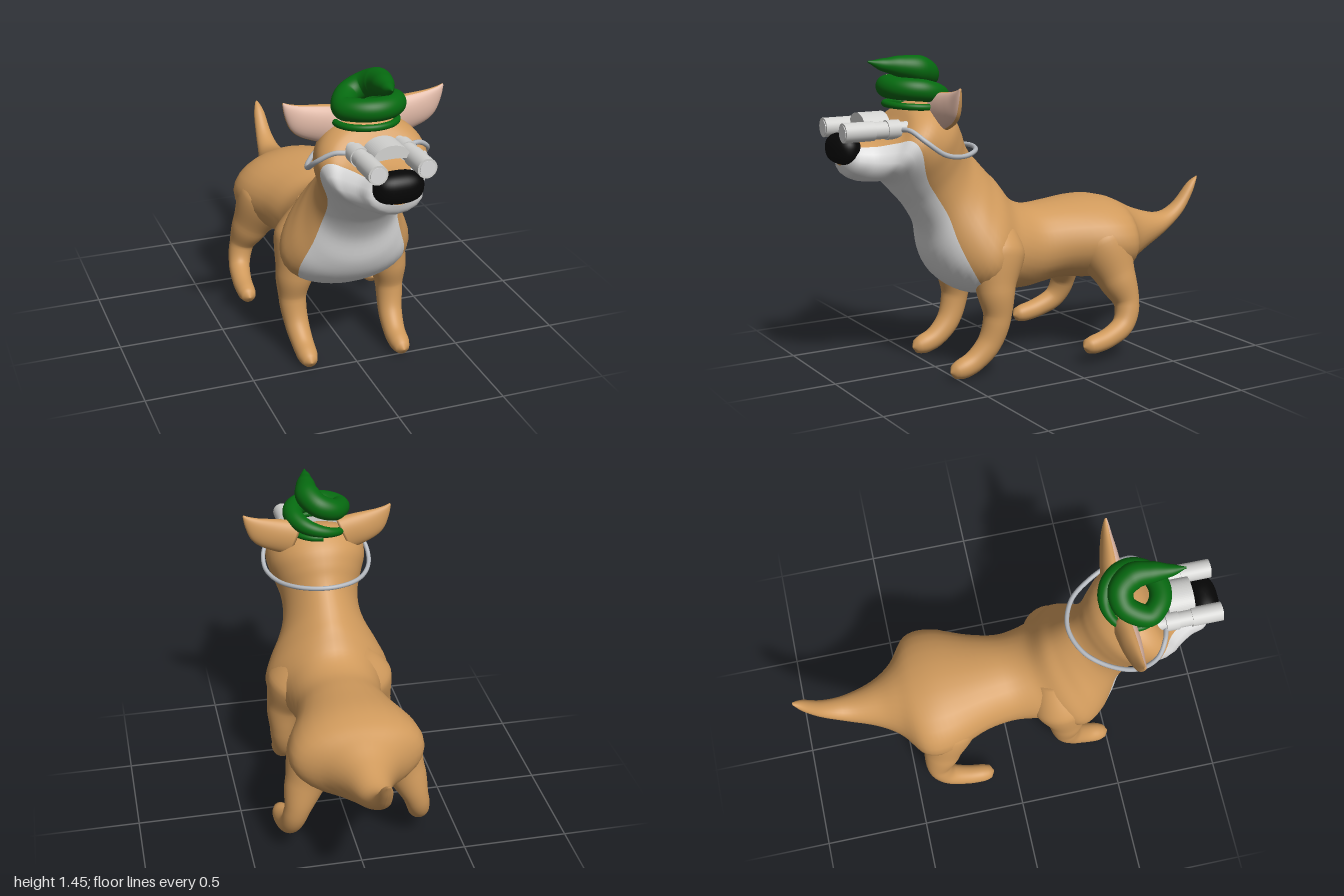
import * as THREE from 'three';

const V = (x, y, z) => new THREE.Vector3(x, y, z);
const mat = (name, color) => {
  const m = new THREE.MeshStandardMaterial({ color });
  m.name = name;
  return m;
};
const BASE = 28, PATCH = 12; // segments round a ring: main colour, then patch colour
const EVEN = Math.PI * PATCH / (BASE + PATCH);

// Skin over rings {c, v, s, a, k}: centre, two half axes, half angle of the patch facing -v, fullness towards -v
function skin(rings) {
  const n = BASE + PATCH, pos = [], main = [], patch = [];
  for (const { c, v, s, a, k = 0 } of rings) {
    for (let j = 0; j < n; j++) {
      const th = j < BASE
        ? Math.PI + a + (2 * Math.PI - 2 * a) * j / BASE
        : Math.PI - a + 2 * a * (j - BASE) / PATCH;
      const p = c.clone().addScaledVector(v, Math.cos(th)).addScaledVector(s, Math.sin(th) * (1 - k * Math.cos(th)));
      pos.push(p.x, p.y, p.z);
    }
  }
  for (let i = 0; i < rings.length - 1; i++) {
    for (let j = 0; j < n; j++) {
      const A = i * n + j, B = i * n + (j + 1) % n, C = A + n, D = B + n;
      const list = j >= BASE && Math.min(rings[i].a, rings[i + 1].a) > 0.06 ? patch : main;
      list.push(A, C, B, B, C, D);
    }
  }
  const last = rings.length - 1, c0 = pos.length / 3;
  for (const r of [rings[0], rings[last]]) pos.push(r.c.x, r.c.y, r.c.z);
  for (let j = 0; j < n; j++) {
    const k = (j + 1) % n;
    main.push(c0, j, k, c0 + 1, last * n + k, last * n + j);
  }
  const g = new THREE.BufferGeometry();
  g.setAttribute('position', new THREE.Float32BufferAttribute(pos, 3));
  g.setIndex([...main, ...patch]);
  g.addGroup(0, main.length, 0);
  g.addGroup(main.length, patch.length, 1);
  g.computeVertexNormals();
  return g;
}

// Smooth interpolation between rows of numbers
function smoothRows(rows, sub) {
  const out = [], at = i => rows[Math.max(0, Math.min(rows.length - 1, i))];
  for (let i = 0; i < rows.length - 1; i++) {
    for (let k = 0; k < sub; k++) {
      const t = k / sub;
      out.push(rows[i].map((p1, q) => {
        const p0 = at(i - 1)[q], p2 = at(i + 1)[q], p3 = at(i + 2)[q];
        return p1 + 0.5 * t * (p2 - p0 + t * (2 * p0 - 5 * p1 + 4 * p2 - p3 + t * (3 * (p1 - p2) + p3 - p0)));
      }));
    }
  }
  out.push(rows[rows.length - 1]);
  return out;
}

// Tube of changing thickness through rows [x, y, z, radius]
function taperTube(rows, steps) {
  const curve = new THREE.CatmullRomCurve3(rows.map(r => V(r[0], r[1], r[2])), false, 'centripetal');
  const f = curve.computeFrenetFrames(steps), rings = [];
  for (let i = 0; i <= steps; i++) {
    const t = curve.getUtoTmapping(i / steps, 0), q = t * (rows.length - 1);
    const k = Math.min(rows.length - 2, Math.floor(q));
    const r = THREE.MathUtils.lerp(rows[k][3], rows[k + 1][3], THREE.MathUtils.smoothstep(q - k, 0, 1) * 0.4 + (q - k) * 0.6);
    rings.push({ c: curve.getPoint(t), v: f.normals[i].clone().multiplyScalar(r), s: f.binormals[i].clone().multiplyScalar(-r), a: EVEN });
  }
  return skin(rings);
}

function mirrored(geo) {
  const g = geo.clone().scale(-1, 1, 1), idx = g.index.array;
  for (let i = 0; i < idx.length; i += 3) [idx[i], idx[i + 1]] = [idx[i + 1], idx[i]];
  g.computeVertexNormals();
  return g;
}

export function createModel() {
  const model = new THREE.Group();
  const tan = mat('tan fur', 0xd09a5c), white = mat('white fur', 0xdcdcdc), pink = mat('pink ear', 0xdfb8a6);
  const black = mat('black nose', 0x060606), green = mat('green hat', 0x066a10), grey = mat('light grey', 0xd2d2d0);
  const strapGrey = mat('strap grey', 0xb4b8be);
  const add = (name, geo, material, parent = model) => {
    const m = new THREE.Mesh(geo, material);
    m.name = name;
    parent.add(m);
    return m;
  };
  const pair = (name, geo, material) => {
    add('left' + name, geo, material);
    return add('right' + name, mirrored(geo), material);
  };

  // Tail, trunk, neck, head and muzzle: top z, top y, bottom z, bottom y, half width, white angle
  const bodyRows = [
    [-1, 0.77, -0.995, 0.755, 0.008, 2],
    [-0.95, 0.74, -0.965, 0.685, 0.028, 2],
    [-0.86, 0.645, -0.9, 0.59, 0.042, 2],
    [-0.76, 0.607, -0.78, 0.5, 0.065, 2],
    [-0.62, 0.64, -0.64, 0.425, 0.11, 2],
    [-0.52, 0.685, -0.53, 0.375, 0.18, 2],
    [-0.43, 0.725, -0.43, 0.35, 0.3, 2],
    [-0.31, 0.745, -0.3, 0.345, 0.31, 2],
    [-0.12, 0.735, -0.12, 0.36, 0.24, 2],
    [0.02, 0.73, 0.05, 0.335, 0.215, 8],
    [0.12, 0.77, 0.24, 0.34, 0.245, 28],
    [0.19, 0.86, 0.38, 0.36, 0.29, 37],
    [0.24, 0.91, 0.48, 0.43, 0.265, 50],
    [0.29, 0.965, 0.54, 0.53, 0.217, 58],
    [0.33, 1.01, 0.57, 0.66, 0.188, 59],
    [0.36, 1.06, 0.63, 0.765, 0.19, 59],
    [0.385, 1.12, 0.69, 0.835, 0.213, 60],
    [0.43, 1.19, 0.74, 0.89, 0.24, 66],
    [0.53, 1.25, 0.78, 0.91, 0.245, 82],
    [0.63, 1.235, 0.81, 0.908, 0.222, 101],
    [0.7, 1.16, 0.85, 0.91, 0.18, 117],
    [0.8, 1.105, 0.89, 0.92, 0.14, 132],
    [0.91, 1.085, 0.935, 0.945, 0.115, 142],
    [0.955, 1.03, 0.955, 0.99, 0.04, 142],
  ];
  const body = smoothRows(bodyRows, 5).map(([tz, ty, bz, by, w, a]) => ({
    c: V(0, (ty + by) / 2, (tz + bz) / 2),
    v: V(0, (ty - by) / 2, (tz - bz) / 2),
    s: V(w, 0, 0),
    a: THREE.MathUtils.degToRad(a),
    k: 0.4 * Math.exp(-(((bz - 0.42) / 0.19) ** 2)), // chest is fuller low down
  }));
  add('body', skin(body), [tan, white]);

  // Nose: a rounded block
  const nose = new THREE.SphereGeometry(1, 40, 28), np = nose.attributes.position;
  const square = u => Math.sign(u) * Math.abs(u) ** 0.78;
  for (let i = 0; i < np.count; i++) np.setXYZ(i, square(np.getX(i)), square(np.getY(i)), np.getZ(i));
  nose.scale(0.11, 0.069, 0.065).translate(0, 1.062, 0.935);
  nose.computeVertexNormals();
  add('nose', nose, black);

  // Legs, their tops sunk into shoulder and hip; the right front leg stands a little further back
  const rightFront = pair('FrontLeg', taperTube([
    [0.09, 0.7, 0.26, 0.1], [0.172, 0.54, 0.28, 0.142], [0.222, 0.4, 0.3, 0.09], [0.235, 0.27, 0.3, 0.064],
    [0.228, 0.15, 0.34, 0.056], [0.222, 0.075, 0.415, 0.05], [0.222, 0.05, 0.475, 0.047],
    [0.222, 0.042, 0.515, 0.035], [0.222, 0.04, 0.535, 0.004],
  ], 48), tan);
  rightFront.position.z = -0.03;
  pair('HindLeg', taperTube([
    [0.08, 0.64, -0.28, 0.1], [0.17, 0.52, -0.31, 0.148], [0.243, 0.37, -0.35, 0.093], [0.285, 0.25, -0.38, 0.06],
    [0.308, 0.16, -0.345, 0.052], [0.322, 0.11, -0.25, 0.047], [0.325, 0.092, -0.17, 0.044],
    [0.325, 0.088, -0.13, 0.034], [0.325, 0.086, -0.112, 0.004],
  ], 48), tan);

  // Ears: x, y, z, half width, half depth
  const earRows = [
    [0.12, 1.205, 0.53, 0.09, 0.05], [0.2, 1.225, 0.535, 0.083, 0.045], [0.265, 1.243, 0.54, 0.072, 0.035],
    [0.31, 1.265, 0.543, 0.055, 0.025], [0.344, 1.3, 0.546, 0.028, 0.015], [0.363, 1.332, 0.548, 0.005, 0.005],
  ];
  pair('Ear', skin(smoothRows(earRows, 5).map(([x, y, z, w, d]) => ({
    c: V(x, y, z), v: V(0, 0, -d), s: V(0.4 * w, -0.92 * w, 0), a: 1.25,
  }))), [tan, pink]);

  // Coiled hat: a thin turn, a thick turn, then a forward curl
  const coil = [];
  for (let i = 0; i <= 24; i++) {
    const k = i / 24, phi = THREE.MathUtils.degToRad(540 - 610 * k);
    const R = 0.14 - 0.02 * k, grow = THREE.MathUtils.smoothstep(k, 0.45, 0.78);
    coil.push([-0.01 + R * Math.sin(phi), 1.233 + 0.075 * grow + 0.008 * Math.cos(phi),
      0.585 + R * 0.96 * Math.cos(phi), 0.015 + 0.035 * grow]);
  }
  coil.push([-0.07, 1.335, 0.53, 0.053], [0.0, 1.365, 0.525, 0.057], [0.04, 1.395, 0.585, 0.061],
    [0.035, 1.41, 0.67, 0.048], [0.022, 1.42, 0.75, 0.028], [0.015, 1.435, 0.815, 0.004]);
  add('hat', taperTube(coil, 180), green);

  // Binoculars: stepped barrels, lens discs and a bridge
  const glasses = new THREE.Group();
  glasses.name = 'binoculars';
  model.add(glasses);
  for (const side of [-1, 1]) {
    for (const [z0, z1, r] of [[0.84, 0.98, 0.043], [0.78, 0.84, 0.038], [0.72, 0.78, 0.043], [0.65, 0.72, 0.032]]) {
      add('barrel', new THREE.CylinderGeometry(r, r, z1 - z0, 32).rotateX(Math.PI / 2)
        .translate(side * 0.107, 1.145, (z0 + z1) / 2), grey, glasses);
    }
    add('lens', new THREE.CylinderGeometry(0.034, 0.034, 0.004, 32).rotateX(Math.PI / 2)
      .translate(side * 0.107, 1.145, 0.981), white, glasses);
  }
  const arch = new THREE.Shape();
  arch.moveTo(-0.085, 1.15);
  arch.bezierCurveTo(-0.08, 1.195, -0.04, 1.215, 0, 1.215);
  arch.bezierCurveTo(0.04, 1.215, 0.08, 1.195, 0.085, 1.15);
  arch.quadraticCurveTo(0, 1.165, -0.085, 1.15);
  add('bridge', new THREE.ExtrudeGeometry(arch, { depth: 0.12, bevelEnabled: false, curveSegments: 16 })
    .translate(0, 0, 0.745), grey, glasses);

  // Strap from barrel to barrel round the back of the neck
  const half = [[0.13, 1.145, 0.72], [0.19, 1.145, 0.7], [0.25, 1.1, 0.655], [0.262, 1.04, 0.57],
    [0.22, 1.018, 0.46], [0.13, 1.025, 0.35]];
  const strapPath = [...half, [0, 1.03, 0.305], ...half.map(([x, y, z]) => [-x, y, z]).reverse()];
  add('strap', new THREE.TubeGeometry(new THREE.CatmullRomCurve3(strapPath.map(p => V(...p))), 100, 0.011, 10), strapGrey, glasses);

  return model;
}
